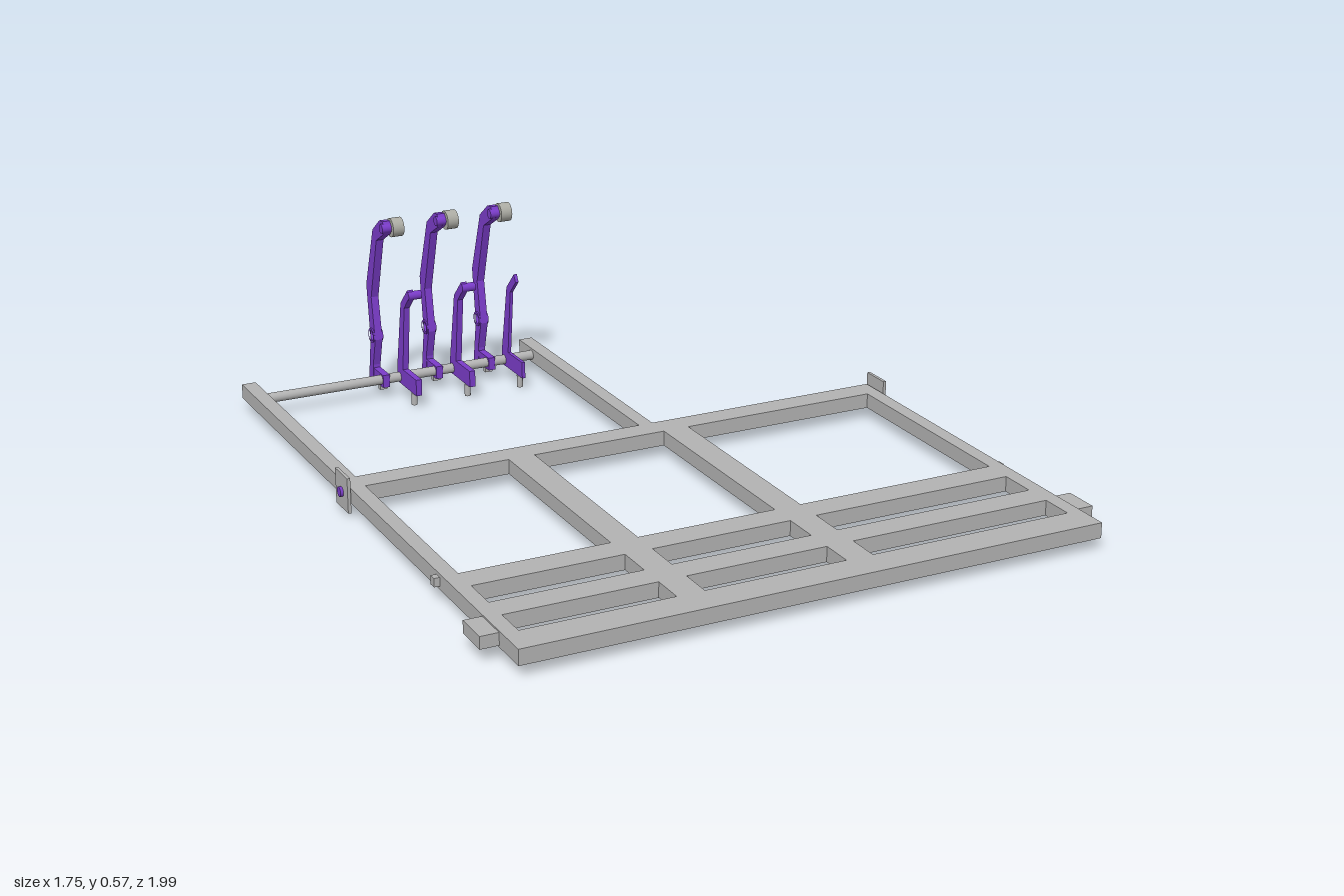
import * as THREE from 'three';

const mat = (name, color) => {
  const m = new THREE.MeshStandardMaterial({ color });
  m.name = name;
  return m;
};

export function createModel() {
  const model = new THREE.Group();
  model.name = 'pedalFrame';
  const steel = mat('steelGrey', 0xb2b2b2);
  const purple = mat('purple', 0x7a3cc8);
  const rubber = mat('rollerGrey', 0xacaca4);

  const add = (parent, name, geometry, material) => {
    const mesh = new THREE.Mesh(geometry, material);
    mesh.name = name;
    parent.add(mesh);
    return mesh;
  };
  // Box given by its limits on each axis
  const box = (parent, name, x0, x1, y0, y1, z0, z1, material = steel) => {
    const g = new THREE.BoxGeometry(x1 - x0, y1 - y0, z1 - z0);
    g.translate((x0 + x1) / 2, (y0 + y1) / 2, (z0 + z1) / 2);
    return add(parent, name, g, material);
  };
  // Cylinder lying along x
  const rodX = (parent, name, x0, x1, y, z, r, material) => {
    const g = new THREE.CylinderGeometry(r, r, x1 - x0, 24);
    g.rotateZ(Math.PI / 2);
    g.translate((x0 + x1) / 2, y, z);
    return add(parent, name, g, material);
  };
  // Side profile of [z, y] points, extruded from x0 to x1, with optional round hole
  const profile = (parent, name, pts, x0, x1, material, hole) => {
    const shape = new THREE.Shape(pts.map(([z, y]) => new THREE.Vector2(-z, y)));
    if (hole) shape.holes.push(new THREE.Path().absarc(-hole[0], hole[1], hole[2], 0, Math.PI * 2, true));
    const g = new THREE.ExtrudeGeometry(shape, { depth: x1 - x0, bevelEnabled: false, curveSegments: 16 });
    g.rotateY(Math.PI / 2);
    g.translate(x0, 0, 0);
    return add(parent, name, g, material);
  };

  // Tubular frame
  const Y0 = 0.033, Y1 = 0.076;
  const frame = new THREE.Group();
  frame.name = 'frame';
  model.add(frame);
  box(frame, 'longRail', -0.828, -0.786, Y0, Y1, -0.984, 1);
  box(frame, 'shortRail', 0.775, 0.817, Y0, Y1, -0.16, 1);
  box(frame, 'rearRail', 0.066, 0.108, Y0, Y1, -0.984, -0.16);
  const cross = [[-0.16, -0.087], [0.545, 0.627], [0.733, 0.812], [0.907, 1]];
  cross.forEach(([z0, z1]) => box(frame, 'crossBar', -0.786, 0.775, Y0, Y1, z0, z1));
  for (let i = 0; i < 3; i++) {
    for (const x of [-0.368, 0.108]) {
      box(frame, 'lengthBar', x, x + 0.077, Y0, Y1, cross[i][1], cross[i + 1][0]);
    }
  }
  rodX(frame, 'pedalShaft', -0.786, 0.066, 0.055, -0.893, 0.0145, steel);

  // Tabs, pegs and pivot plates on both outer sides
  for (const [s, edge] of [[-1, 0.828], [1, 0.817]]) {
    const span = (a, b) => (s > 0 ? [edge + a, edge + b] : [-edge - b, -edge - a]);
    box(frame, 'sideTab', ...span(0, 0.05), 0.038, 0.072, 0.79, 0.89);
    box(frame, 'sidePeg', ...span(0, 0.016), 0.043, 0.067, 0.507, 0.529);
    box(frame, 'pivotPlate', ...span(0.004, 0.013), 0.01, 0.11, -0.165, -0.075);
    rodX(frame, 'pivotPin', ...span(0, 0.021), 0.058, -0.12, 0.014, s < 0 ? purple : steel);
  }

  // Three pedal sets along the shaft
  const armPts = [
    [-0.99, 0.03], [-0.967, 0.163], [-0.986, 0.328], [-0.917, 0.516], [-0.858, 0.559],
    [-0.834, 0.561], [-0.82, 0.54], [-0.834, 0.521], [-0.89, 0.489], [-0.949, 0.297],
    [-0.928, 0.168], [-0.952, 0.083], [-0.952, 0.03],
  ];
  const leverPts = [
    [-0.91, 0.036], [-0.91, 0.077], [-0.866, 0.294], [-0.81, 0.35], [-0.798, 0.328],
    [-0.839, 0.286], [-0.863, 0.086], [-0.76, 0.086], [-0.76, 0.036],
  ];
  const ring = (r) => Array.from({ length: 20 }, (_, i) => {
    const a = (i / 20) * Math.PI * 2;
    return [-0.952 + r * Math.cos(a), 0.177 + r * Math.sin(a)];
  });
  for (let i = 0; i < 3; i++) {
    const set = new THREE.Group();
    set.name = 'pedalSet';
    set.position.x = i * 0.171;
    model.add(set);

    // Tall arm with drilled boss, foot and roller
    profile(set, 'pedalArm', armPts, -0.427, -0.404, purple, [-0.952, 0.177, 0.016]);
    profile(set, 'armBoss', ring(0.022), -0.431, -0.4, purple, [-0.952, 0.177, 0.016]);
    box(set, 'armFoot', -0.426, -0.405, 0.034, 0.073, -0.955, -0.875, purple);
    box(set, 'armStop', -0.427, -0.404, 0.02, 0.034, -0.916, -0.9);
    rodX(set, 'rollerAxle', -0.433, -0.368, 0.54, -0.834, 0.014, purple);
    rodX(set, 'roller', -0.404, -0.37, 0.54, -0.834, 0.028, rubber);

    // Short lever with forward foot; the last one is a thin plate without a knob
    const last = i === 2;
    profile(set, 'lever', leverPts, -0.367, last ? -0.357 : -0.349, purple);
    if (!last) rodX(set, 'leverKnob', -0.367, -0.325, 0.332, -0.81, 0.013, purple);
    const pin = new THREE.CylinderGeometry(0.009, 0.009, 0.036, 16);
    pin.translate(-0.362, 0.018, -0.79);
    add(set, 'footPin', pin, steel);
  }
  return model;
}
